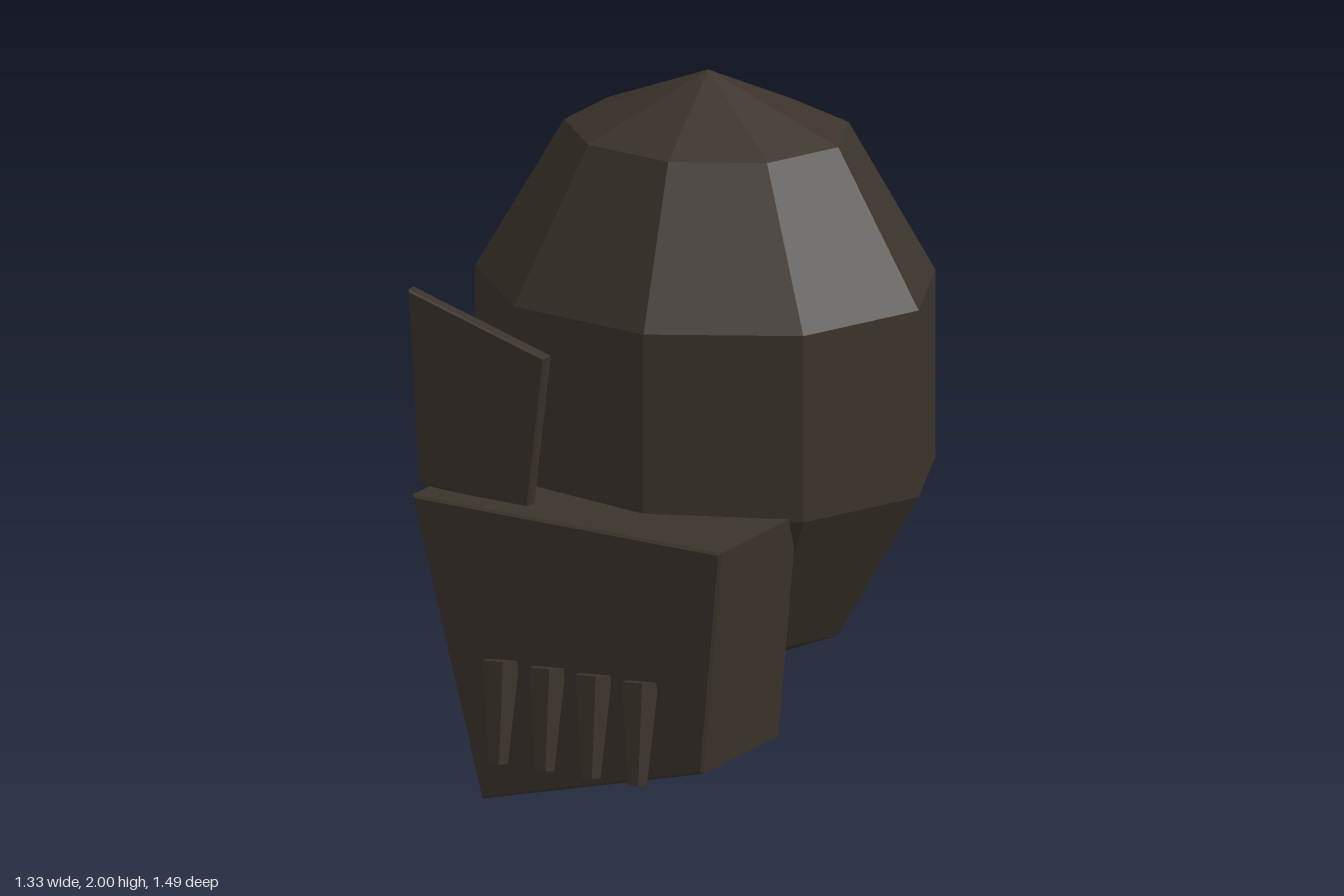
import * as THREE from 'three';

export function createModel() {
  const group = new THREE.Group();
  const stone = new THREE.MeshStandardMaterial({ color: 0x3b332b, flatShading: true });
  stone.name = 'dark brown';

  const add = (geometry, name) => {
    const mesh = new THREE.Mesh(geometry, stone);
    mesh.name = name;
    group.add(mesh);
    return mesh;
  };

  // Slab with a four-cornered front outline and slightly softened edges
  const slab = (corners, zBack, zFront, bevel, name) => {
    const shape = new THREE.Shape(corners.map(([x, y]) => new THREE.Vector2(x, y)));
    const geometry = new THREE.ExtrudeGeometry(shape, {
      depth: zFront - zBack - 2 * bevel,
      bevelThickness: bevel, bevelSize: bevel, bevelOffset: -bevel, bevelSegments: 1,
    });
    geometry.translate(0, 0, zBack + bevel);
    return add(geometry, name);
  };

  // Faceted egg-shaped skull, nine sides round and five bands high
  const skull = new THREE.SphereGeometry(1, 9, 5);
  skull.rotateY(Math.PI);
  skull.scale(0.721, 0.895, 0.635);
  skull.translate(-0.02, 1.105, -0.155);
  add(skull, 'skull');

  // Skewed jaw block and the thin plate standing on it
  slab([[-0.31, 0], [0.41, 0.175], [0.47, 0.838], [-0.537, 0.87]], 0.2, 0.655, 0.008, 'jaw');
  slab([[-0.567, 0.875], [-0.21, 0.845], [-0.155, 1.305], [-0.602, 1.447]], 0.52, 0.562, 0.006, 'cheekPlate');

  // Row of tapered, tilted five-sided teeth
  for (let i = 0; i < 4; i++) {
    const x = -0.242 + i * 0.151;
    const top = new THREE.Vector3(x, 0.425, 0.665);
    const tip = new THREE.Vector3(x + 0.022, 0.135, 0.72);
    const axis = top.clone().sub(tip);
    const tooth = add(new THREE.CylinderGeometry(0.055, 0.029, axis.length(), 5, 1, false, Math.PI / 5), 'tooth' + (i + 1));
    tooth.position.copy(top).add(tip).multiplyScalar(0.5);
    tooth.quaternion.setFromUnitVectors(new THREE.Vector3(0, 1, 0), axis.normalize());
  }

  return group;
}
